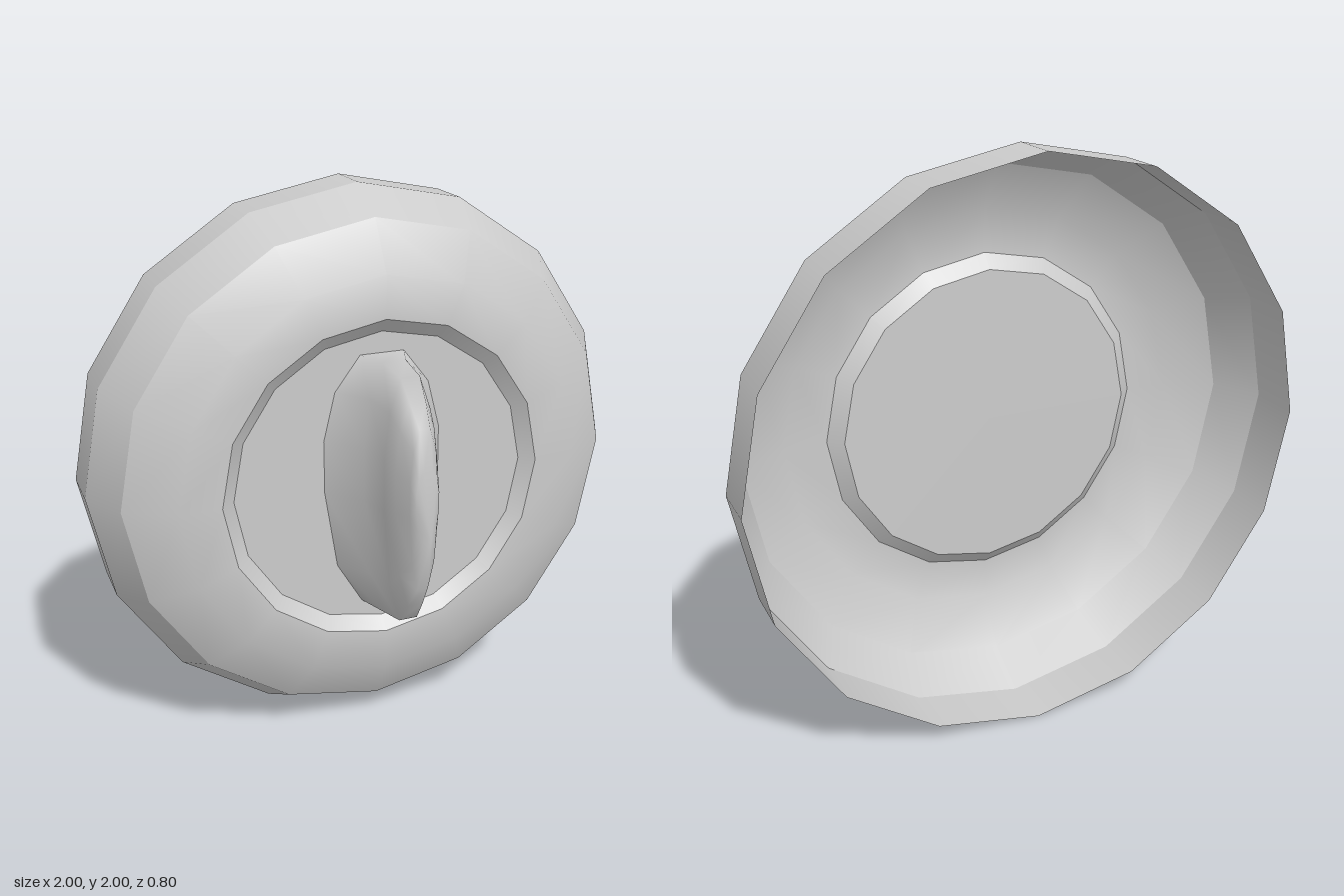
import * as THREE from 'three';

const SIDES = 16;

// Turned surface around the z axis; profile points are [radius, z]
function turned(name, profile, material) {
  const geo = new THREE.LatheGeometry(profile.map(([r, z]) => new THREE.Vector2(r, z)), SIDES);
  geo.rotateX(Math.PI / 2);
  const mesh = new THREE.Mesh(geo, material);
  mesh.name = name;
  mesh.position.y = 1;
  return mesh;
}

// Grip lofted through cross-sections along z: [z, half width, bottom y, top y]
function gripGeometry() {
  const sections = [
    [0.01, 0.215, 0.535, 1.465],
    [0.12, 0.11, 0.535, 1.465],
    [0.25, 0.09, 0.565, 1.45],
    [0.31, 0.075, 0.65, 1.385],
    [0.37, 0.05, 0.74, 1.31],
    [0.4, 0.04, 0.93, 1.18],
  ];
  // Right half of the outline from bottom to top, mirrored for the left half
  const right = [[0.37, -1], [0.8, -0.66], [1, -0.04], [1, 0.37], [0.8, 0.74], [0.37, 1]];
  const left = right.map(([u, v]) => [-u, v]).reverse();
  const outline = [...right, ...left];
  const n = outline.length;
  const pos = [], index = [];
  for (const [z, w, lo, hi] of sections)
    for (const [u, v] of outline) pos.push(u * w, (lo + hi) / 2 + v * (hi - lo) / 2, z);
  for (let s = 0; s < sections.length - 1; s++)
    for (let i = 0; i < n; i++) {
      const a = s * n + i, b = s * n + (i + 1) % n;
      index.push(a, b, b + n, a, b + n, a + n);
    }
  // Front cap
  const last = (sections.length - 1) * n;
  for (let i = 1; i < n - 1; i++) index.push(last, last + i, last + i + 1);
  const geo = new THREE.BufferGeometry();
  geo.setAttribute('position', new THREE.Float32BufferAttribute(pos, 3));
  geo.setIndex(index);
  geo.computeVertexNormals();
  return geo;
}

export function createModel() {
  const group = new THREE.Group();
  const material = new THREE.MeshStandardMaterial({ color: 0xcccccc, side: THREE.DoubleSide });

  // Open-backed shell, one band per hard edge
  group.add(turned('outerRim', [[1, -0.395], [1, -0.21]], material));
  group.add(turned('rimBevel', [[1, -0.21], [0.91, -0.05]], material));
  group.add(turned('frontRing', [[0.91, -0.05], [0.74, 0.05], [0.59, 0.05]], material));

  // Shallow recess with a flat floor
  group.add(turned('recessWall', [[0.59, 0.05], [0.54, 0.01]], material));
  group.add(turned('recessFloor', [[0.54, 0.01], [0, 0.01]], material));

  // Turning grip
  const grip = new THREE.Mesh(gripGeometry(), material);
  grip.name = 'grip';
  group.add(grip);
  return group;
}
